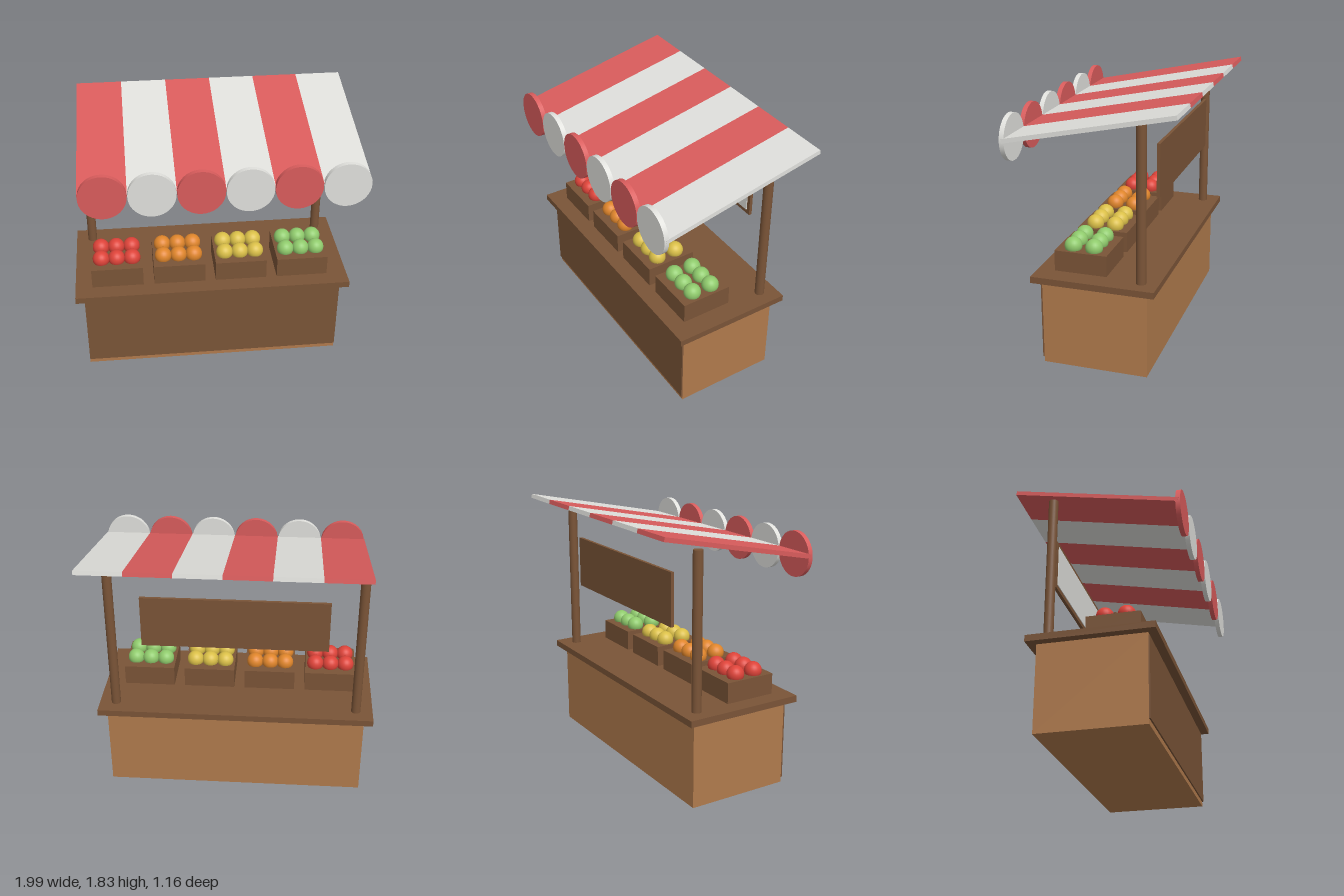
import * as THREE from 'three';

const mat = (name, color) => new THREE.MeshStandardMaterial({ name, color });

export function createModel() {
  const stall = new THREE.Group();
  stall.name = 'marketStall';

  const darkWood = mat('darkWood', 0x7a5437);
  const lightWood = mat('lightWood', 0xb07a4c);
  const red = mat('awningRed', 0xd95c5c);
  const white = mat('awningWhite', 0xe0e0dc);
  const fruitColours = [
    mat('appleRed', 0xdd4339),
    mat('orange', 0xdf852b),
    mat('lemonYellow', 0xdabf48),
    mat('limeGreen', 0x8fca6c),
  ];

  const add = (parent, name, geometry, material, x, y, z) => {
    const mesh = new THREE.Mesh(geometry, material);
    mesh.name = name;
    mesh.position.set(x, y, z);
    parent.add(mesh);
    return mesh;
  };
  // Box given by its lower and upper corners
  const box = (parent, name, material, [x0, y0, z0], [x1, y1, z1]) =>
    add(parent, name, new THREE.BoxGeometry(x1 - x0, y1 - y0, z1 - z0), material,
      (x0 + x1) / 2, (y0 + y1) / 2, (z0 + z1) / 2);

  // Counter: body, front panel and overhanging top
  box(stall, 'counterBody', lightWood, [-0.937, 0, -0.37], [0.898, 0.605, 0.36]);
  box(stall, 'frontPanel', darkWood, [-0.937, 0.036, 0.36], [0.898, 0.585, 0.37]);
  box(stall, 'counterTop', darkWood, [-0.997, 0.605, -0.43], [0.957, 0.65, 0.42]);

  // Two round posts at the back
  const postGeometry = new THREE.CylinderGeometry(0.033, 0.033, 1.707, 24);
  for (const x of [-0.878, 0.84]) add(stall, 'post', postGeometry, darkWood, x, 0.8635, -0.312);

  // Sign board with a blank pale face
  const sign = new THREE.Group();
  sign.name = 'sign';
  stall.add(sign);
  box(sign, 'signBoard', darkWood, [-0.66, 1.17, -0.37], [0.62, 1.535, -0.348]);
  box(sign, 'signFace', white, [-0.632, 1.2, -0.348], [0.592, 1.505, -0.343]);

  // Sloping striped awning with a round flap at the front of each stripe
  const awning = new THREE.Group();
  awning.name = 'awning';
  stall.add(awning);
  const stripe = 0.318;
  const stripeGeometry = new THREE.BoxGeometry(stripe, 0.03, 1.165);
  const flapGeometry = new THREE.CylinderGeometry(0.157, 0.157, 0.033, 40).rotateX(Math.PI / 2);
  for (let i = 0; i < 6; i++) {
    const x = -0.912 + stripe * (i + 0.5);
    const material = i % 2 ? white : red;
    add(awning, 'awningStripe', stripeGeometry, material, x, 1.693, -0.006).rotation.x = 0.207;
    add(awning, 'awningFlap', flapGeometry, material, x, 1.565, 0.562);
  }

  // Four crates, each with two rows of three fruits
  const crateGeometry = new THREE.BoxGeometry(0.365, 0.145, 0.365);
  const fruitGeometry = new THREE.SphereGeometry(0.06, 24, 16);
  fruitColours.forEach((material, i) => {
    const crate = new THREE.Group();
    crate.name = 'fruitCrate';
    crate.position.set(-0.695 + 0.4417 * i, 0.65, 0.118);
    stall.add(crate);
    add(crate, 'crateBox', crateGeometry, darkWood, 0, 0.0725, 0);
    for (const x of [-0.11, 0, 0.11]) {
      for (const z of [-0.073, 0.073]) add(crate, 'fruit', fruitGeometry, material, x, 0.168, z);
    }
  });

  return stall;
}
